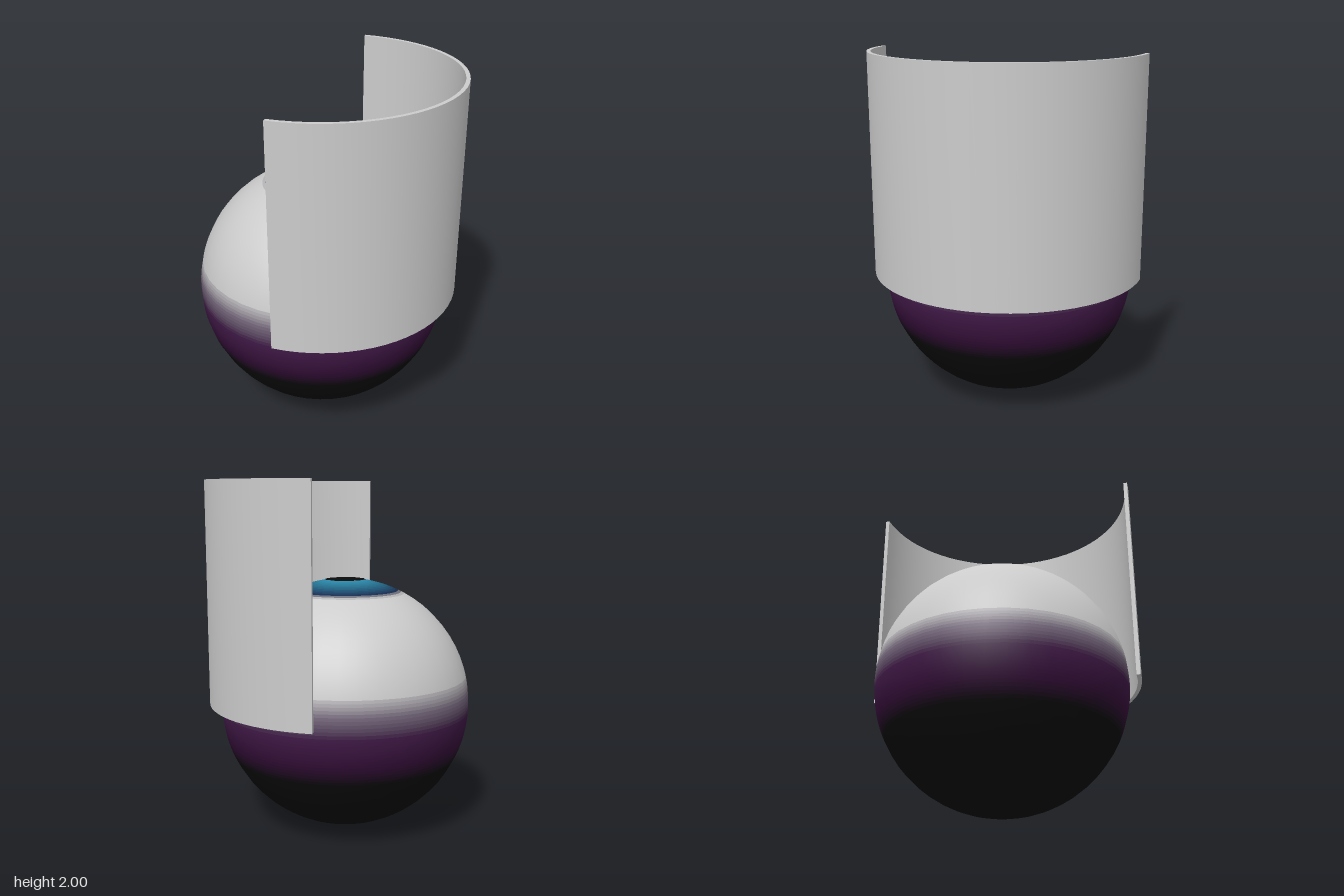
import * as THREE from 'three';
import { toCreasedNormals } from 'three/addons/utils/BufferGeometryUtils.js';

const R = 0.722, CX = -0.034;
const rad = THREE.MathUtils.degToRad;

const paint = (color) => new THREE.MeshStandardMaterial({ color });

function add(group, name, geometry, color) {
  const mesh = new THREE.Mesh(geometry, paint(color));
  mesh.name = name;
  group.add(mesh);
  return mesh;
}

// Latitude band of the ball, angles in degrees from the top
function band(from, to) {
  const rows = Math.max(1, Math.round((to - from) / 6));
  return new THREE.SphereGeometry(R, 40, rows, 0, Math.PI * 2, rad(from), rad(to - from));
}

// Colour stops down the ball: [angle from the top, colour, part name]
const stops = [
  [8, 0x2c8cb0, 'iris'],
  [15, 0x23718f, 'iris'],
  [21, 0x1b4a6c, 'iris'],
  [25, 0x16244a, 'iris'],
  [28, 0xcccccc, 'eyeWhite'],
  [74, 0xcccccc, 'eyeWhiteFade'],
  [84, 0x75687c, 'lowerFade'],
  [93, 0x411a48, 'lowerBand'],
  [106, 0x340d38, 'lowerBand'],
  [115, 0x0b0b0b, 'underside'],
  [180, 0x0b0b0b, ''],
];

export function createModel() {
  const model = new THREE.Group();

  // Eyeball built from bands that fade from one colour stop to the next
  const ball = new THREE.Group();
  ball.name = 'eyeball';
  ball.position.set(CX, R, 0);
  model.add(ball);
  for (let i = 0; i < stops.length - 1; i++) {
    const [a, ca, name] = stops[i];
    const [b, cb] = stops[i + 1];
    const steps = ca === cb ? 1 : Math.ceil((b - a) / 1.5);
    for (let k = 0; k < steps; k++) {
      const color = new THREE.Color(ca).lerp(new THREE.Color(cb), (k + 0.5) / steps);
      add(ball, name, band(a + (b - a) * k / steps, a + (b - a) * (k + 1) / steps), color);
    }
  }

  // Flat ten-sided pupil
  const pupil = add(ball, 'pupil', new THREE.CircleGeometry(0.119, 10).rotateX(-Math.PI / 2), 0x0b0b0b);
  pupil.position.y = R * Math.cos(rad(8)) + 0.002;

  // Thin half-cylinder shield on the left side
  const ring = new THREE.Shape();
  ring.absarc(0, 0, 0.79, -Math.PI / 2, Math.PI / 2, false);
  ring.absarc(0, 0, 0.767, Math.PI / 2, -Math.PI / 2, true);
  ring.closePath();
  const wall = new THREE.ExtrudeGeometry(ring, { depth: 1.27, bevelEnabled: false, curveSegments: 18 });
  wall.rotateX(-Math.PI / 2);
  const shield = add(model, 'shield', toCreasedNormals(wall, rad(30)), 0xcccccc);
  shield.position.set(CX, 0.73, 0);

  return model;
}
